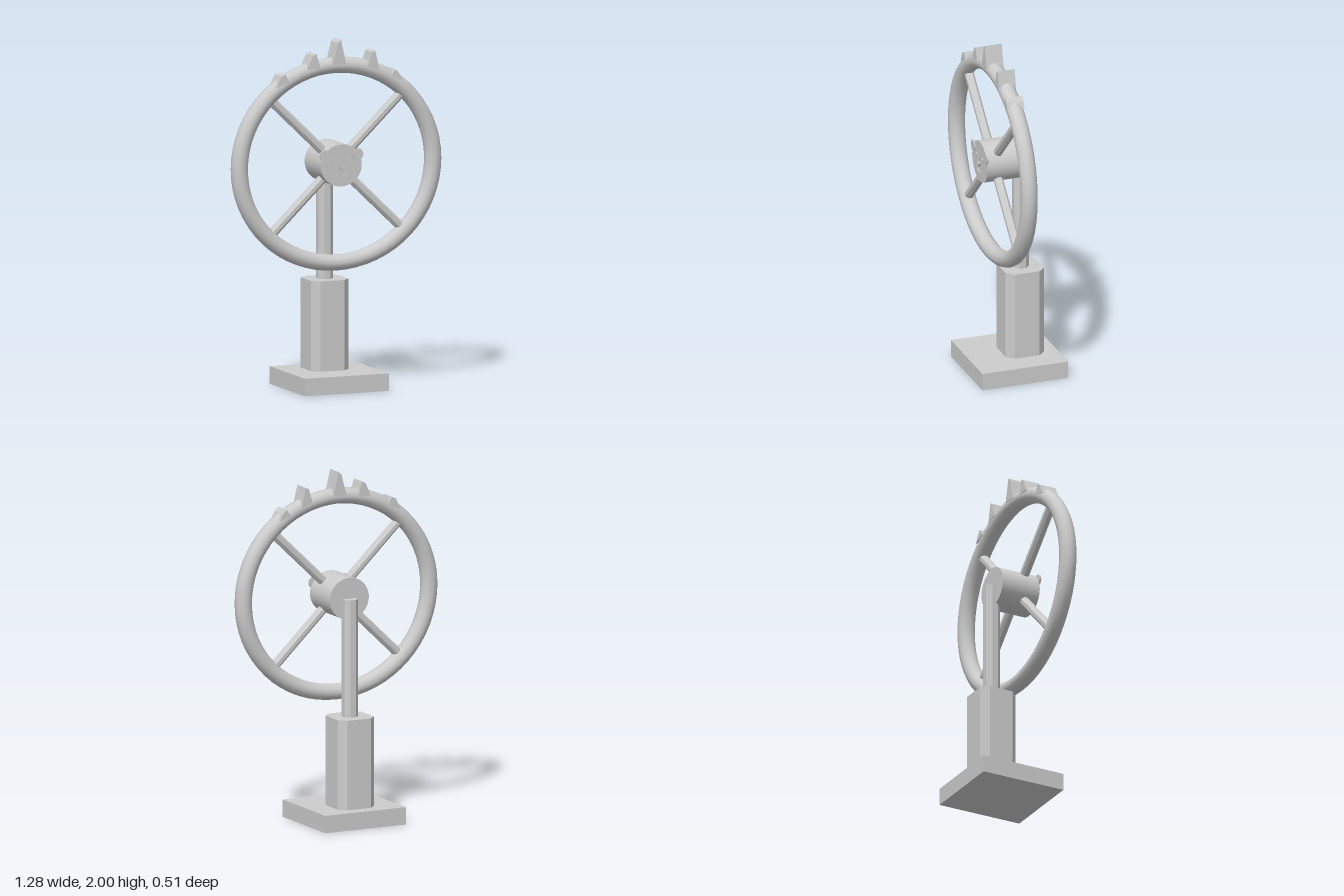
import * as THREE from 'three';

export function createModel() {
  const model = new THREE.Group();
  const stone = new THREE.MeshStandardMaterial({ color: 0xcccccc });
  stone.name = 'plainGrey';
  const flat = (geo) => {
    const g = geo.index ? geo.toNonIndexed() : geo;
    g.computeVertexNormals();
    return g;
  };
  const add = (name, geo, x = 0, y = 0, z = 0) => {
    const mesh = new THREE.Mesh(geo, stone);
    mesh.name = name;
    mesh.position.set(x, y, z);
    model.add(mesh);
    return mesh;
  };
  const prism = (points, depth) => new THREE.ExtrudeGeometry(
    new THREE.Shape(points.map(([x, y]) => new THREE.Vector2(x, y))),
    { depth, bevelEnabled: false });
  const octagonRod = (apothem, length) => flat(new THREE.CylinderGeometry(
    apothem / Math.cos(Math.PI / 8), apothem / Math.cos(Math.PI / 8), length, 8)
    .rotateY(Math.PI / 8));

  const hubY = 1.29, rimZ = 0.1, standZ = -0.065;

  // Stand: square foot, chamfered pedestal and upright post
  add('foot', new THREE.BoxGeometry(0.514, 0.1, 0.514), 0, 0.05, 0);
  const w = 0.115, c = 0.074;
  const pedestal = prism([[-c, -w], [c, -w], [w, -c], [w, c], [c, w], [-c, w], [-w, c], [-w, -c]], 0.515);
  add('pedestal', pedestal.rotateX(-Math.PI / 2), 0, 0.1, standZ);
  add('post', octagonRod(0.044, 0.69), 0, 0.945, standZ);

  // Slightly oval rim
  const rim = new THREE.TorusGeometry(0.592, 0.049, 12, 64);
  rim.scale(1, 0.952, 1);
  add('rim', rim, 0, hubY, rimZ);

  // Four diagonal spokes
  for (const sx of [-1, 1]) for (const sy of [-1, 1]) {
    const spoke = add('spoke', octagonRod(0.025, 0.47), sx * 0.235, hubY + sy * 0.226, rimZ);
    spoke.rotation.z = -Math.atan2(sx * 0.235, sy * 0.226);
  }

  // Hub drum
  const drum = new THREE.CylinderGeometry(0.125, 0.125, 0.238, 40).rotateX(Math.PI / 2);
  drum.scale(1, 0.96, 1);
  add('hub', drum, 0, hubY, 0.059);

  // Animal face on the hub front: ears, eyes, nose and mouth
  for (const s of [-1, 1]) {
    const ear = new THREE.CylinderGeometry(0.033, 0.033, 0.01, 12).rotateX(Math.PI / 2);
    add('ear', ear, s * 0.1, 1.35, 0.179);
    const eye = new THREE.CylinderGeometry(0.011, 0.011, 0.008, 10).rotateX(Math.PI / 2);
    add('eye', eye, s * 0.045, 1.32, 0.181);
    add('mouthSide', new THREE.BoxGeometry(0.035, 0.007, 0.008), s * 0.016, 1.231, 0.181)
      .rotation.z = s * 0.35;
  }
  add('nose', prism([[-0.018, 0.01], [0, -0.014], [0.018, 0.01]], 0.009), 0, 1.275, 0.178);

  // Crown of teeth along the top of the rim
  const teeth = [
    [[-0.386, 1.75], [-0.355, 1.813], [-0.33, 1.822], [-0.305, 1.775]],
    [[-0.197, 1.845], [-0.162, 1.92], [-0.142, 1.93], [-0.115, 1.845]],
    [[-0.042, 1.86], [-0.008, 1.985], [0.01, 2.0], [0.042, 1.86]],
    [[0.175, 1.84], [0.2, 1.92], [0.219, 1.928], [0.246, 1.81]],
    [[0.313, 1.775], [0.342, 1.815], [0.363, 1.793], [0.386, 1.75]],
  ];
  for (const points of teeth) add('tooth', prism(points, 0.102), 0, 0, 0.05);

  return model;
}
